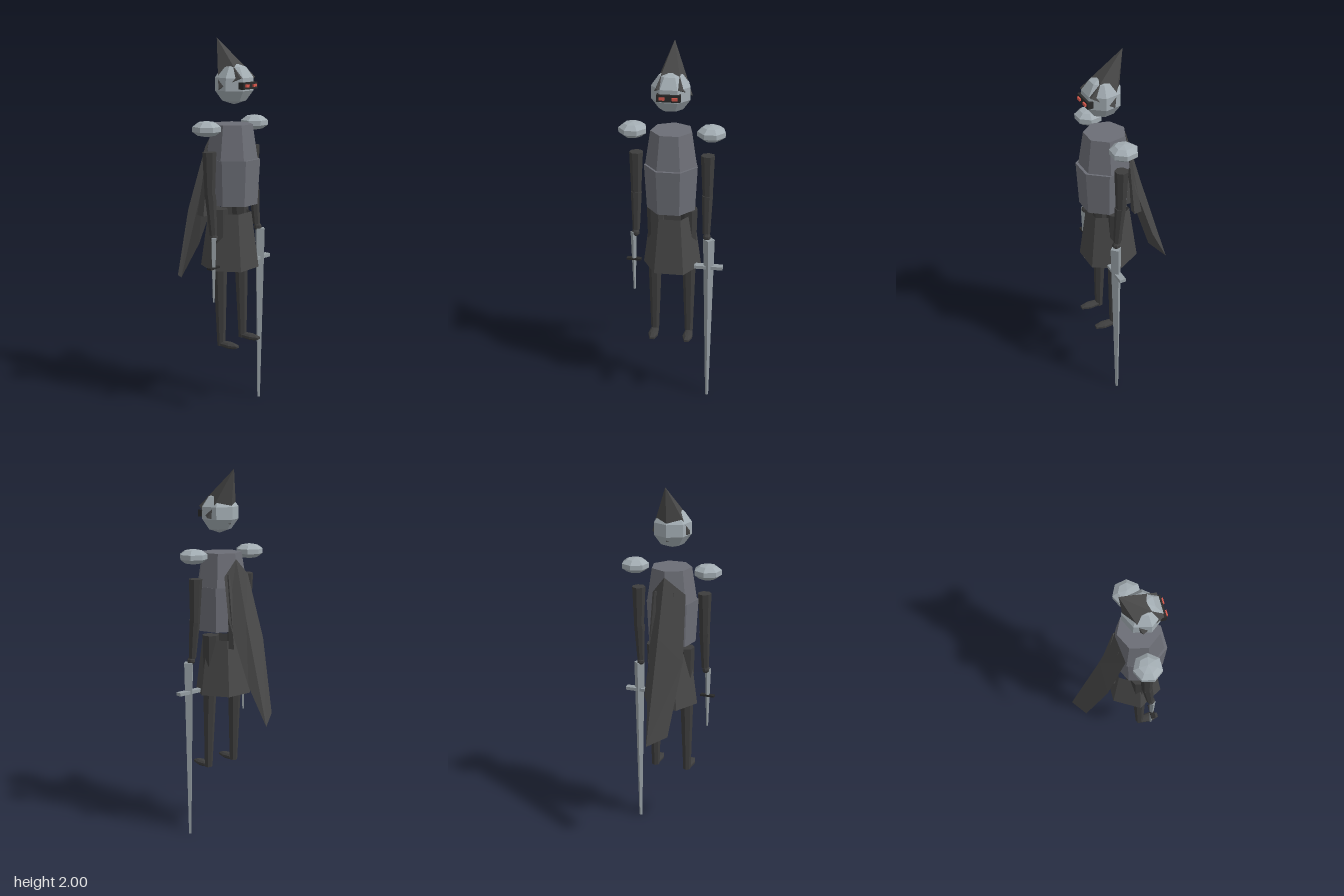
import * as THREE from 'three';

const mat = (name, color, side = THREE.FrontSide) =>
  new THREE.MeshStandardMaterial({ name, color, flatShading: true, side });

export function createModel() {
  const model = new THREE.Group();
  model.name = 'hoodedKnight';

  const plate = mat('grey plate', 0x6c6e76);
  const steel = mat('pale steel', 0xa3adb3);
  const blade = mat('blade steel', 0x949da2);
  const cloth = mat('dark cloth', 0x484848, THREE.DoubleSide);
  const limbs = mat('charcoal', 0x3d3d3d);
  const black = mat('visor black', 0x2a2a2a);
  const red = mat('eye red', 0xd9584c);

  const add = (name, geometry, material, x = 0, y = 0, z = 0, parent = model) => {
    const mesh = new THREE.Mesh(geometry, material);
    mesh.name = name;
    mesh.position.set(x, y, z);
    parent.add(mesh);
    return mesh;
  };
  // Faceted prism with a flat side facing the front
  const prism = (rTop, rBottom, h, sides) =>
    new THREE.CylinderGeometry(rTop, rBottom, h, sides).rotateY(Math.PI / sides);
  const ball = (r) => new THREE.SphereGeometry(r, 7, 5).rotateY(Math.PI / 2 + Math.PI);
  // Tapered limb from a top point to a bottom point
  const limb = (name, a, b, ra, rb, material, parent, sides = 7) => {
    const top = new THREE.Vector3(...a), bottom = new THREE.Vector3(...b);
    const axis = top.clone().sub(bottom);
    const mid = top.clone().add(bottom).multiplyScalar(0.5);
    const mesh = add(name, prism(ra, rb, axis.length(), sides), material, mid.x, mid.y, mid.z, parent);
    mesh.quaternion.setFromUnitVectors(new THREE.Vector3(0, 1, 0), axis.normalize());
    return mesh;
  };

  // Torso and skirt
  add('chest', prism(0.11, 0.138, 0.18, 7), plate, 0, 1.47, 0.112);
  add('waist', prism(0.143, 0.13, 0.24, 7), plate, 0, 1.26, 0.122);
  add('skirt', new THREE.CylinderGeometry(0.115, 0.156, 0.3, 6, 1, true).rotateY(Math.PI / 6),
    cloth, 0, 0.945, 0.1);

  // Head, tilted hood, visor and eyes
  add('head', ball(0.107), steel, 0, 1.768, 0.125);
  const hood = add('hood', prism(0, 0.11, 0.27, 5), cloth, 0, 1.88, 0.0725);
  hood.rotation.x = -0.48;
  add('visor', new THREE.BoxGeometry(0.12, 0.036, 0.03), black, 0, 1.762, 0.215);
  for (const s of [-1, 1])
    add('eye', new THREE.BoxGeometry(0.028, 0.014, 0.009), red, s * 0.032, 1.762, 0.2345);

  // Paired arms and legs
  for (const s of [-1, 1]) {
    const side = s > 0 ? 'left' : 'right';
    const arm = new THREE.Group();
    arm.name = side + 'Arm';
    model.add(arm);
    add('shoulderPlate', ball(0.078), steel, s * 0.203, 1.55, 0.106, arm).scale.y = 0.53;
    limb('upperArm', [s * 0.186, 1.43, 0.11], [s * 0.188, 1.2, 0.115], 0.037, 0.027, limbs, arm);
    limb('forearm', [s * 0.187, 1.21, 0.118], [s * 0.187, 1.0, 0.138], 0.03, 0.02, limbs, arm);
    add('hand', ball(0.022), limbs, s * 0.19, 0.985, 0.145, arm);

    const leg = new THREE.Group();
    leg.name = side + 'Leg';
    model.add(leg);
    limb('thigh', [s * 0.09, 1.12, 0.1], [s * 0.092, 0.77, 0.105], 0.046, 0.034, limbs, leg);
    limb('shin', [s * 0.092, 0.8, 0.108], [s * 0.094, 0.375, 0.118], 0.037, 0.022, limbs, leg);
    add('foot', ball(0.03), limbs, s * 0.095, 0.386, 0.168, leg).scale.set(0.95, 0.6, 2.35);

    // Torn strip hanging behind the waist
    limb('clothStrip', [s * 0.05, 1.45, 0.0], [s * 0.05, 1.06, -0.045], 0.006, 0.03, cloth, model, 4);
  }

  // Long sword: diamond blade with a cross guard
  const diamond = (rTop, rBottom, h) => new THREE.CylinderGeometry(rTop, rBottom, h, 4);
  const sword = new THREE.Group();
  sword.name = 'longSword';
  model.add(sword);
  add('blade', diamond(0.031, 0.009, 0.975), blade, 0.202, 0.4875, 0.153, sword);
  add('crossGuard', new THREE.BoxGeometry(0.152, 0.018, 0.035), blade, 0.202, 0.812, 0.15, sword);

  // Dagger
  const dagger = new THREE.Group();
  dagger.name = 'dagger';
  model.add(dagger);
  add('blade', diamond(0.017, 0.006, 0.345), blade, -0.2, 0.8175, 0.15, dagger);
  add('crossGuard', new THREE.BoxGeometry(0.078, 0.01, 0.024), black, -0.2, 0.83, 0.15, dagger);

  // Ragged cape: two folds meeting on a central ridge
  const left = [[0.07, 1.44, 0.01], [0.075, 1.22, -0.025], [0.045, 0.87, -0.15]];
  const ridge = [[0.0, 1.53, -0.005], [0.006, 1.22, -0.09], [0.015, 0.665, -0.255]];
  const right = [[-0.11, 1.44, 0.02], [-0.13, 1.1, -0.08], [-0.085, 0.71, -0.195]];
  const points = [];
  const fold = (a, b) => {
    for (let i = 0; i < 2; i++)
      points.push(...a[i], ...b[i + 1], ...b[i], ...a[i], ...a[i + 1], ...b[i + 1]);
  };
  fold(ridge, left);
  fold(right, ridge);
  const cape = new THREE.BufferGeometry();
  cape.setAttribute('position', new THREE.Float32BufferAttribute(points, 3));
  cape.computeVertexNormals();
  // Outward winding faces the back
  const capeMesh = add('cape', cape, cloth);
  if (cape.attributes.normal.getZ(0) > 0) {
    const p = cape.attributes.position;
    for (let i = 0; i < p.count; i += 3) {
      const v = [p.getX(i), p.getY(i), p.getZ(i)];
      p.setXYZ(i, p.getX(i + 1), p.getY(i + 1), p.getZ(i + 1));
      p.setXYZ(i + 1, ...v);
    }
    capeMesh.geometry.computeVertexNormals();
  }

  return model;
}
